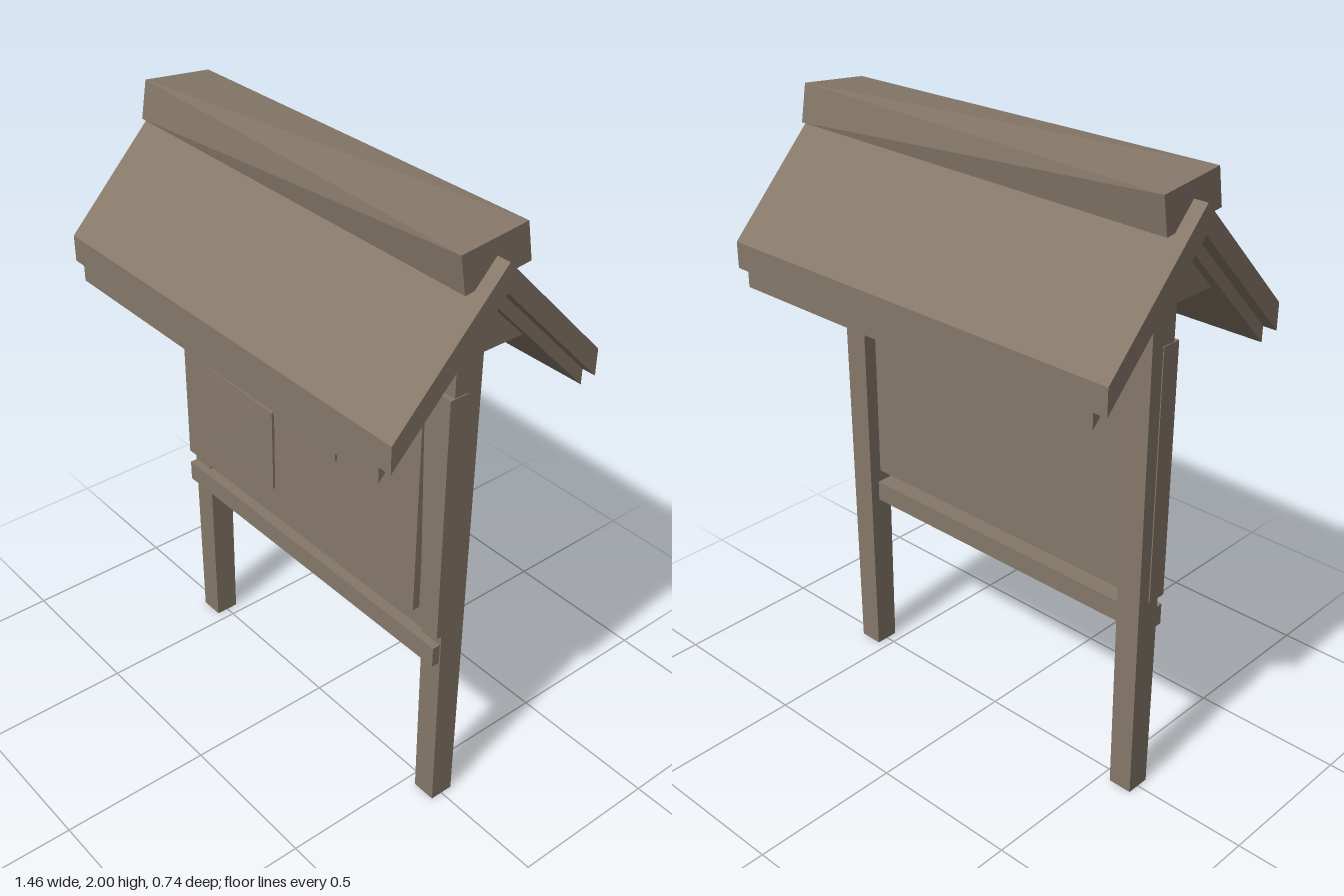
import * as THREE from 'three';

export function createModel() {
  const model = new THREE.Group();
  const wood = new THREE.MeshStandardMaterial({ color: 0x857869, flatShading: true });
  wood.name = 'weatheredWood';

  const add = (name, geometry) => {
    const mesh = new THREE.Mesh(geometry, wood);
    mesh.name = name;
    model.add(mesh);
    return mesh;
  };

  // Box given by its limits on each axis
  const box = (x0, x1, y0, y1, z0, z1) =>
    new THREE.BoxGeometry(x1 - x0, y1 - y0, z1 - z0)
      .translate((x0 + x1) / 2, (y0 + y1) / 2, (z0 + z1) / 2);

  // Move each vertex by a rule
  const warp = (geometry, rule) => {
    const p = geometry.attributes.position;
    const v = new THREE.Vector3();
    for (let i = 0; i < p.count; i++) {
      rule(v.fromBufferAttribute(p, i));
      p.setXYZ(i, v.x, v.y, v.z);
    }
    geometry.computeVertexNormals();
    return geometry;
  };

  // Extrude a (z, y) outline along x, from x0 to x1
  const prism = (points, x0, x1) => {
    const shape = new THREE.Shape(points.map(([z, y]) => new THREE.Vector2(-z, y)));
    return new THREE.ExtrudeGeometry(shape, { depth: x1 - x0, bevelEnabled: false })
      .rotateY(Math.PI / 2).translate(x0, 0, 0);
  };

  // Two stacked roof layers, the lower one shorter
  const roofLayer = (apex, thickness, halfLength) => prism([
    [0, apex], [0.368, apex - 0.38], [0.368, apex - 0.38 - thickness],
    [0, apex - thickness], [-0.368, apex - 0.38 - thickness], [-0.368, apex - 0.38],
  ], -halfLength, halfLength);
  add('roofCover', roofLayer(1.938, 0.085, 0.73));
  add('roofLining', roofLayer(1.853, 0.05, 0.685));

  // Ridge beam, slightly twisted along its length
  const ridge = warp(new THREE.BoxGeometry(1.37, 0.116, 0.226), (v) => {
    const a = 0.1 * v.x / 0.685;
    const { y, z } = v;
    v.y = y - z * a;
    v.z = z + y * a * 1.8;
  });
  add('ridgeBeam', ridge).position.y = 1.931;

  // Posts that thicken a little upward, each with a gable block
  for (const side of [-1, 1]) {
    const label = side > 0 ? 'left' : 'right';
    const post = warp(box(-0.04, 0.04, 0, 1.645, -0.04, 0.04), (v) => {
      if (v.y > 1) { v.x *= 1.06; v.z *= 1.2; }
    });
    add(label + 'Post', post).position.x = side * 0.575;
    add(label + 'GableBlock', prism([[0, 1.805], [0.157, 1.645], [-0.157, 1.645]], -0.06, 0.06))
      .position.x = side * 0.59;
  }

  // Notice board, with a panel whose back peels away toward the top
  add('board', box(-0.62, 0.62, 0.69, 1.51, 0, 0.065));
  add('panel', warp(box(-0.54, 0.54, 0.76, 1.44, 0.06, 0.09), (v) => {
    if (v.y > 1) v.z = v.z > 0.07 ? 0.086 : 0.08;
  }));
  add('lowerRail', box(-0.612, 0.612, 0.58, 0.65, -0.01, 0.07));

  // Notice that lifts toward its lower right, and small raised slivers
  add('notice', warp(box(-0.47, -0.11, 0.83, 1.115, 0.088, 0.097), (v) => {
    if (v.x < -0.3 && v.y > 1) v.z -= 0.007;
  }));
  const sliver = (name, points) => {
    const shape = new THREE.Shape(points.map(([x, y]) => new THREE.Vector2(x, y)));
    add(name, new THREE.ExtrudeGeometry(shape, { depth: 0.009, bevelEnabled: false }).translate(0, 0, 0.086));
  };
  sliver('upperSliver', [[-0.38, 1.215], [-0.27, 1.185], [-0.27, 1.22], [-0.38, 1.22]]);
  sliver('middleSliver', [[-0.11, 1.11], [0.19, 1.1], [0.19, 1.135], [-0.06, 1.135]]);
  sliver('sideSliver', [[0.25, 1.13], [0.34, 1.145], [0.25, 1.145]]);

  return model;
}
